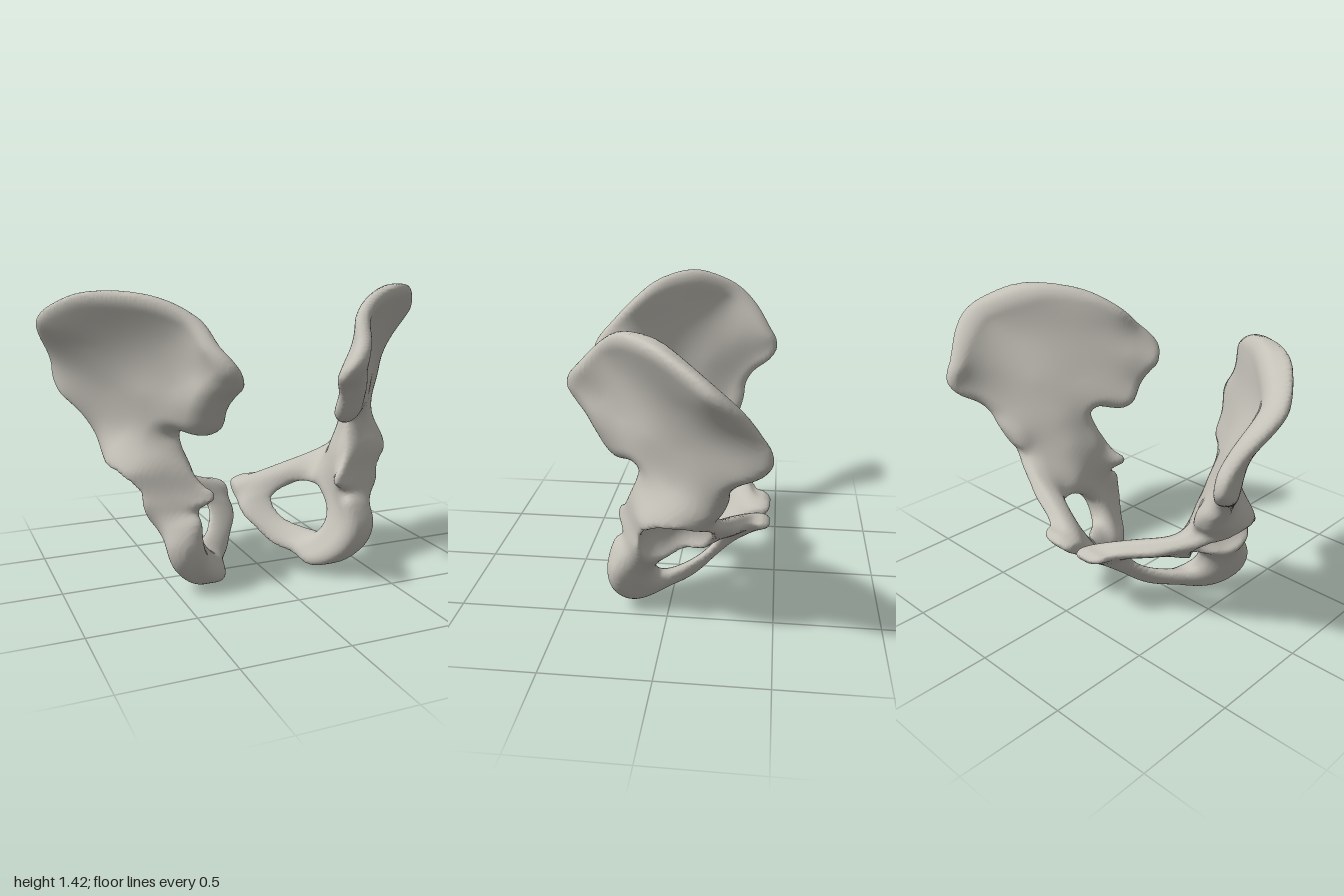
import * as THREE from 'three';

// Side silhouette [z, y] of one hip bone and of the opening through it
const OUTLINE = [
  [.07, 1.42], [.19, 1.395], [.29, 1.323], [.4, 1.21], [.467, 1.13], [.478, 1.075], [.448, 1.015], [.39, .955],
  [.346, .88], [.297, .796], [.244, .766], [.157, .78], [.127, .755], [.138, .7], [.183, .593], [.214, .521],
  [.244, .487], [.248, .45], [.217, .4], [.26, .352], [.285, .265], [.282, .171], [.244, .08], [.195, .025],
  [.13, .003], [.006, .032], [-.104, .058], [-.22, .145], [-.335, .228], [-.448, .307], [-.467, .34], [-.44, .363],
  [-.384, .374], [-.316, .446], [-.27, .51], [-.232, .578], [-.267, .642], [-.293, .72], [-.3, .785], [-.338, .84],
  [-.429, .9], [-.47, .96], [-.463, 1.018], [-.429, 1.075], [-.353, 1.19], [-.24, 1.3], [-.108, 1.376], [-.013, 1.413],
];
const OPENING = [
  [.066, .183], [.059, .243], [.006, .307], [-.07, .348], [-.127, .356], [-.215, .352],
  [-.233, .295], [-.202, .24], [-.134, .18], [-.05, .152], [.043, .147],
];
// Inner and outer surface samples [z, y, innerX, outerX]
const WING = [
  [.07, 1.38, .62, .79], [.2, 1.35, .47, .6], [.29, 1.28, .38, .47], [.39, 1.18, .335, .42], [.45, 1.08, .26, .37],
  [.42, 1.01, .215, .38], [.36, .98, .25, .42], [.33, .92, .275, .43], [.27, .81, .28, .43], [.16, .8, .38, .52],
  [.3, 1.06, .315, .435], [.2, 1, .4, .495], [.2, 1.2, .45, .515], [.08, 1.2, .58, .65], [.08, .95, .5, .6],
  [-.01, 1.37, .7, .88], [-.11, 1.32, .8, .955], [-.2, 1.25, .87, .995], [-.29, 1.18, .87, .985], [-.37, 1.12, .86, .96],
  [-.43, 1.04, .845, .93], [-.45, .95, .845, .915], [-.36, .88, .79, .89], [-.28, .8, .7, .82], [-.1, 1.16, .755, .825],
  [-.1, .95, .63, .73], [-.25, 1.03, .78, .87],
];
const SOCKET = [
  [.11, .7, .42, .56], [-.05, .75, .5, .68], [-.25, .7, .6, .76], [-.2, .62, .55, .74], [-.05, .6, .44, .75],
  [.1, .58, .39, .66], [.19, .56, .37, .46], [.23, .47, .31, .38], [.13, .43, .37, .62], [-.24, .5, .43, .61],
  [-.06, .44, .38, .64], [-.05, .37, .36, .57], [.05, .32, .36, .56], [.21, .39, .36, .5], [-.18, .38, .33, .52],
];
const LOWER_RING = [
  [.26, .26, .37, .54], [.15, .25, .36, .54], [.25, .12, .33, .52], [.14, .04, .22, .42], [.07, .11, .24, .41],
  [-.03, .09, .18, .31], [-.12, .12, .12, .23], [-.22, .19, .04, .17], [-.25, .28, .08, .2], [-.33, .27, .02, .16],
  [-.36, .32, .02, .2], [-.45, .335, .01, .21], [-.4, .36, .03, .25], [-.31, .41, .19, .43], [-.24, .42, .28, .48],
];

// Thin-plate spline through the surface samples: returns (z, y) => [innerX, outerX]
function fitSurfaces(pts) {
  const n = pts.length, N = n + 3;
  const phi = (dz, dy) => { const q = dz * dz + dy * dy; return q < 1e-12 ? 0 : 0.5 * q * Math.log(q); };
  const M = Array.from({ length: N }, () => new Float64Array(N + 2));
  pts.forEach((p, i) => {
    pts.forEach((q, j) => { M[i][j] = phi(p[0] - q[0], p[1] - q[1]); });
    M[i][i] = 5e-4;
    [1, p[0], p[1]].forEach((v, k) => { M[i][n + k] = v; M[n + k][i] = v; });
    M[i][N] = p[2];
    M[i][N + 1] = p[3];
  });
  for (let c = 0; c < N; c++) {
    let best = c;
    for (let r = c + 1; r < N; r++) if (Math.abs(M[r][c]) > Math.abs(M[best][c])) best = r;
    [M[c], M[best]] = [M[best], M[c]];
    for (let r = 0; r < N; r++) {
      if (r === c) continue;
      const k = M[r][c] / M[c][c];
      if (k) for (let j = c; j < N + 2; j++) M[r][j] -= k * M[c][j];
    }
  }
  const w = [0, 1].map(s => M.map((row, i) => row[N + s] / row[i]));
  return (z, y) => w.map(a => {
    let v = a[n] + a[n + 1] * z + a[n + 2] * y;
    for (let i = 0; i < n; i++) v += a[i] * phi(z - pts[i][0], y - pts[i][1]);
    return v;
  });
}

const smoothLoop = (pts, count) =>
  new THREE.CatmullRomCurve3(pts.map(p => new THREE.Vector3(p[0], p[1], 0)), true).getPoints(count);

// Signed distance to a set of loops, positive inside
function loopDistance(loops, z, y) {
  let best = Infinity, inside = false;
  for (const loop of loops) {
    for (let i = 0; i + 1 < loop.length; i++) {
      const a = loop[i], b = loop[i + 1], ex = b.x - a.x, ey = b.y - a.y;
      const t = Math.min(1, Math.max(0, ((z - a.x) * ex + (y - a.y) * ey) / (ex * ex + ey * ey || 1)));
      best = Math.min(best, Math.hypot(z - a.x - t * ex, y - a.y - t * ey));
      if ((a.y > y) !== (b.y > y) && z < a.x + (y - a.y) / ey * ex) inside = !inside;
    }
  }
  return inside ? best : -best;
}

function smoothMax(a, b, k) {
  const h = Math.max(k - Math.abs(a - b), 0);
  return Math.max(a, b) + h * h / (4 * k);
}

// Turns a sampled field (negative inside) into a smooth closed surface
function surfaceFromField(field, dims, origin, step) {
  const stride = [1, dims[0], dims[0] * dims[1]];
  const ids = new Int32Array(field.length).fill(-1), pos = [], index = [];
  const corner = c => (c & 1) * stride[0] + (c >> 1 & 1) * stride[1] + (c >> 2 & 1) * stride[2];
  const eachCell = fn => {
    for (let k = 1; k < dims[2] - 1; k++)
      for (let j = 1; j < dims[1] - 1; j++)
        for (let i = 1; i < dims[0] - 1; i++) fn([i, j, k], i + j * stride[1] + k * stride[2]);
  };
  eachCell((cell, at) => {
    const sum = [0, 0, 0];
    let hits = 0;
    for (let c = 0; c < 8; c++) {
      for (let axis = 0; axis < 3; axis++) {
        if (c >> axis & 1) continue;
        const a = field[at + corner(c)], b = field[at + corner(c | 1 << axis)];
        if ((a < 0) === (b < 0)) continue;
        for (let d = 0; d < 3; d++) sum[d] += d === axis ? a / (a - b) : c >> d & 1;
        hits++;
      }
    }
    if (!hits) return;
    ids[at] = pos.length / 3;
    for (let d = 0; d < 3; d++) pos.push(origin[d] + step * (cell[d] + sum[d] / hits));
  });
  eachCell((cell, at) => {
    for (let axis = 0; axis < 3; axis++) {
      const start = field[at] < 0;
      if (start === field[at + stride[axis]] < 0) continue;
      const u = stride[(axis + 1) % 3], v = stride[(axis + 2) % 3];
      const [a, b, c, d] = [at - u - v, at - v, at, at - u].map(i => ids[i]);
      if (start) index.push(a, b, c, a, c, d);
      else index.push(a, c, b, a, d, c);
    }
  });
  return { pos, index };
}

function hipBone() {
  const step = 0.0125, origin = [-0.05, -0.06, -0.54], dims = [90, 123, 86];
  const surfaces = fitSurfaces([...WING, ...SOCKET, ...LOWER_RING]);
  const loops = [smoothLoop(OUTLINE, 192), smoothLoop(OPENING, 55)];
  const field = new Float32Array(dims[0] * dims[1] * dims[2]).fill(1);
  for (let k = 0; k < dims[2]; k++) {
    for (let j = 0; j < dims[1]; j++) {
      const z = origin[2] + k * step, y = origin[1] + j * step;
      const d = loopDistance(loops, z, y);
      if (d < -0.06) continue;
      const [inner, outer] = surfaces(z, y);
      const mid = (inner + outer) / 2, half = Math.max(0.024, (outer - inner) / 2);
      const round = Math.min(half * 0.95, 0.07);
      for (let i = 0; i < dims[0]; i++) {
        const x = origin[0] + i * step;
        // plate with rounded rims
        const a = round - d, b = Math.abs(x - mid) - half + round;
        let f = Math.hypot(Math.max(a, 0), Math.max(b, 0)) + Math.min(Math.max(a, b), 0) - round;
        // hollow joint cup with a deeper floor
        f = smoothMax(f, 0.17 - Math.hypot(x - 0.645, y - 0.44, z + 0.063), 0.03);
        f = smoothMax(f, 0.085 - Math.hypot(x - 0.54, y - 0.415, z + 0.07), 0.03);
        // flat face at the middle joint
        field[i + dims[0] * (j + dims[1] * k)] = smoothMax(f, 0.02 - x, 0.015);
      }
    }
  }
  return surfaceFromField(field, dims, origin, step);
}

export function createModel() {
  const group = new THREE.Group();
  group.name = 'pelvis';
  const bone = new THREE.MeshStandardMaterial({ color: 0xc4c1b8 });
  bone.name = 'bone';
  const { pos, index } = hipBone();
  for (const side of [1, -1]) {
    const geometry = new THREE.BufferGeometry();
    geometry.setAttribute('position', new THREE.Float32BufferAttribute(
      pos.map((v, i) => (i % 3 === 0 ? side * v : v)), 3));
    geometry.setIndex(side > 0 ? index : index.slice().reverse());
    geometry.computeVertexNormals();
    const mesh = new THREE.Mesh(geometry, bone);
    mesh.name = side > 0 ? 'leftHipBone' : 'rightHipBone';
    group.add(mesh);
  }
  return group;
}
